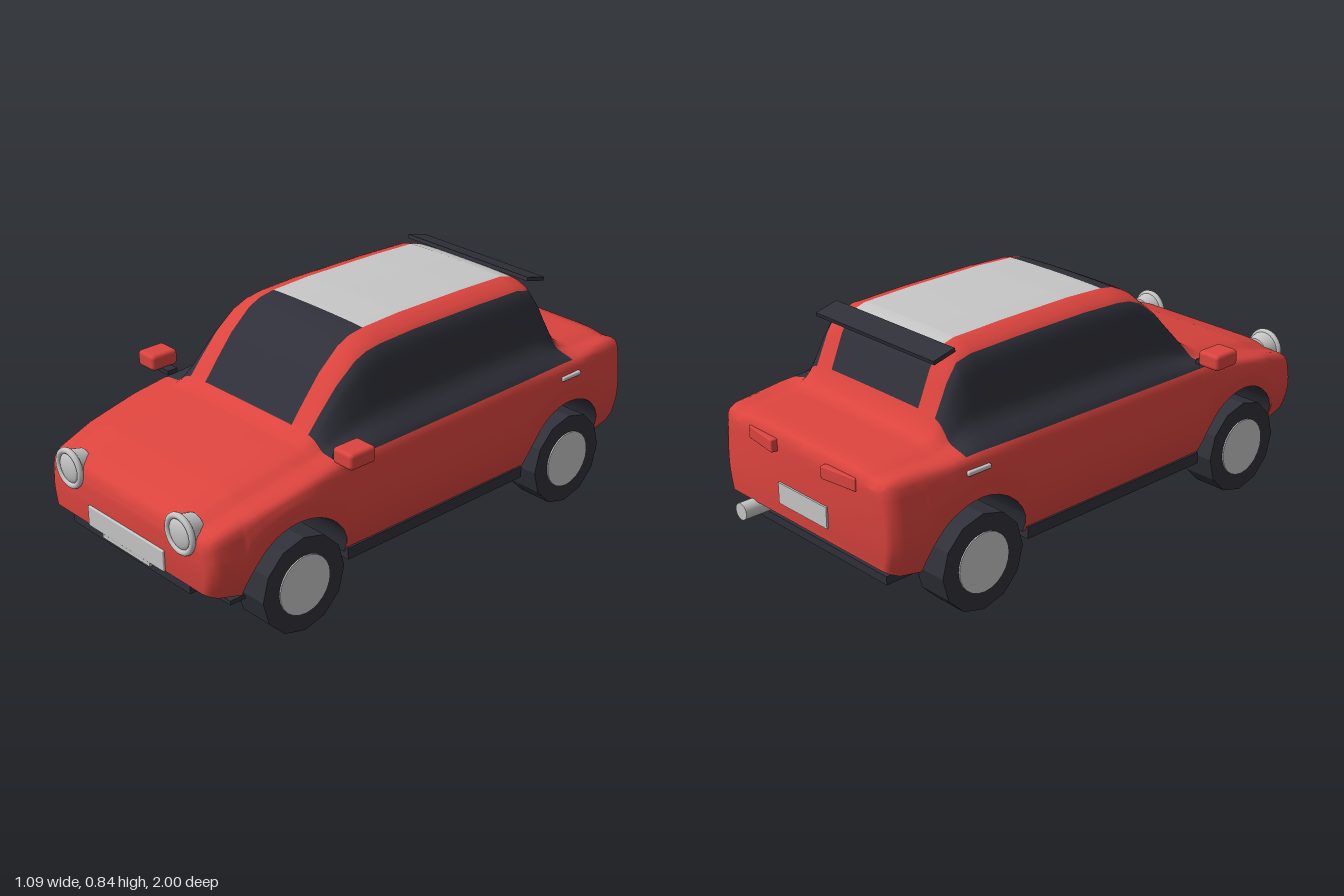
import * as THREE from 'three';
import { toCreasedNormals } from 'three/addons/utils/BufferGeometryUtils.js';
import { RoundedBoxGeometry } from 'three/addons/geometries/RoundedBoxGeometry.js';

const paint = new THREE.MeshStandardMaterial({ color: 0xdc443e });
const dark = new THREE.MeshStandardMaterial({ color: 0x2f3039 });
const silver = new THREE.MeshStandardMaterial({ color: 0xc6c6c6 });
paint.name = 'red paint';
dark.name = 'dark trim and glass';
silver.name = 'silver';

// Profiles along the car as [z, value], from nose to tail
const TOP = [[0.98, 0.41], [0.965, 0.435], [0.94, 0.45], [0.8, 0.495], [0.6, 0.535], [0.52, 0.55], [0.47, 0.58], [0.42, 0.645],
  [0.35, 0.73], [0.27, 0.8], [0.22, 0.823], [0.16, 0.833], [0, 0.84], [-0.3, 0.838], [-0.5, 0.832], [-0.56, 0.815], [-0.6, 0.75],
  [-0.65, 0.63], [-0.68, 0.575], [-0.72, 0.55], [-0.9, 0.538], [-0.935, 0.53], [-0.948, 0.505]];
const BELT = [[0.98, 0.385], [0.965, 0.41], [0.94, 0.425], [0.8, 0.465], [0.6, 0.505], [0.45, 0.525], [-0.6, 0.538],
  [-0.9, 0.525], [-0.935, 0.515], [-0.948, 0.49]];
const WIDTH = [[0.98, 0.4], [0.965, 0.425], [0.94, 0.436], [0.8, 0.458], [0.6, 0.47], [0.3, 0.474], [-0.4, 0.474],
  [-0.7, 0.468], [-0.9, 0.442], [-0.935, 0.43], [-0.948, 0.408]];
const BOTTOM = [[0.98, 0.235], [0.94, 0.215], [0.85, 0.19], [-0.815, 0.19], [-0.9, 0.205], [-0.948, 0.23]];
const FLANK = [[0.4, 1], [0.3, 0.995], [0.25, 0.975], [0.19, 0.92]]; // width factor by height
const CABIN = [[0.375, 0.2], [0.35, 0.45], [0.325, 0.75], [0.3, 0.88], [0.265, 0.95], [0.22, 0.985], [0.11, 0.997], [0, 1]];
const AXLES = [0.645, -0.61];
const ARCH = 0.205;
const SUB = 3;

// Linear lookup in a table sorted by falling first value
function look(table, v) {
  if (v >= table[0][0]) return table[0][1];
  for (let i = 1; i < table.length; i++) {
    const [a, p] = table[i - 1], [b, q] = table[i];
    if (v >= b) return p + (q - p) * (a - v) / (a - b);
  }
  return table[table.length - 1][1];
}

// Lower edge, rising over the wheels
function lowerEdge(z) {
  for (const c of AXLES) {
    const d = Math.abs(z - c);
    if (d < ARCH) return 0.19 + Math.sqrt(ARCH * ARCH - d * d);
  }
  return look(BOTTOM, z);
}

// Half cross-section from the lower edge up to the roof centre
function section(z) {
  const w = look(WIDTH, z), b = look(BELT, z), h = look(TOP, z) - b, low = lowerEdge(z);
  const pts = [];
  for (let k = 0; k < 5; k++) {
    const y = low + (b - low) * k / 4;
    const tuck = k === 4 ? 0.945 : k === 3 ? 0.985 : 1;
    pts.push(new THREE.Vector2(w * look(FLANK, y) * tuck, y));
  }
  for (const [x, f] of CABIN) pts.push(new THREE.Vector2(x * w / 0.47, b + h * f));
  return new THREE.SplineCurve(pts).getPoints(12 * SUB);
}

// Lengthwise stations, including glass limits and arch outlines
function stations() {
  const zs = [...TOP, ...BELT, ...BOTTOM].map((p) => p[0]);
  for (let z = 0.9; z > -0.92; z -= 0.04) zs.push(z);
  for (const c of AXLES) for (let i = 0; i <= 16; i++) zs.push(c + ARCH * Math.cos(Math.PI * i / 16));
  zs.sort((a, b) => b - a);
  return zs.filter((z, i) => i === 0 || zs[i - 1] - z > 0.0005);
}

function makeBody() {
  const zs = stations(), n = 12 * SUB, ring = 2 * n + 1;
  const pos = [], faces = [[], [], []], under = [], underIndex = [];
  zs.forEach((z) => {
    const s = section(z);
    for (let j = 0; j < ring; j++) {
      const p = s[j <= n ? j : 2 * n - j];
      pos.push(j < n ? p.x : j > n ? -p.x : 0, p.y, z);
    }
    under.push(s[0].x, s[0].y, z, -s[0].x, s[0].y, z);
  });
  for (let k = 0; k < zs.length - 1; k++) {
    const z = (zs[k] + zs[k + 1]) / 2;
    for (let j = 0; j < 2 * n; j++) {
      const row = (j < n ? j : 2 * n - 1 - j) / SUB;
      let m = 0;
      if (row >= 4 && row < 8 && z < 0.47 && z > -0.65) m = 1; // side glass
      if (row >= 10 && z < 0.47 && z > -0.65) m = z < 0.16 && z > -0.56 ? 2 : 1; // screens, roof panel
      const a = k * ring + j, b = a + ring;
      faces[m].push(a, b, a + 1, b, b + 1, a + 1);
    }
    const u = 2 * k;
    underIndex.push(u, u + 1, u + 2, u + 1, u + 3, u + 2);
  }
  // Nose and tail panels
  const last = (zs.length - 1) * ring;
  for (let j = 0; j < n; j++) {
    const l = 2 * n - j;
    faces[0].push(l, j, j + 1, l, j + 1, l - 1);
    faces[0].push(last + j, last + l, last + j + 1, last + l, last + l - 1, last + j + 1);
  }
  const geo = new THREE.BufferGeometry();
  geo.setAttribute('position', new THREE.Float32BufferAttribute(pos, 3));
  geo.setIndex(faces.flat());
  let start = 0;
  faces.forEach((f, m) => { geo.addGroup(start, f.length, m); start += f.length; });
  const floor = new THREE.BufferGeometry();
  floor.setAttribute('position', new THREE.Float32BufferAttribute(under, 3));
  floor.setIndex(underIndex);
  return [toCreasedNormals(geo, 0.9), toCreasedNormals(floor, 0.6)];
}

export function createModel() {
  const car = new THREE.Group();
  car.name = 'car';
  const add = (name, geo, mat, x = 0, y = 0, z = 0) => {
    const mesh = new THREE.Mesh(geo, mat);
    mesh.name = name;
    mesh.position.set(x, y, z);
    car.add(mesh);
    return mesh;
  };
  const box = (w, h, d) => new THREE.BoxGeometry(w, h, d);
  const rounded = (w, h, d, r) => new RoundedBoxGeometry(w, h, d, 2, r);
  const tube = (r1, r2, l, n) => new THREE.CylinderGeometry(r1, r2, l, n);

  const [shell, floor] = makeBody();
  add('bodyShell', shell, [paint, dark, silver]);
  add('underbodyAndWheelArches', floor, dark);

  // Sills, chin and lower plates
  add('sills', box(0.9, 0.042, 0.83), dark, 0, 0.185, 0.02);
  add('frontChin', box(0.62, 0.03, 0.08), dark, 0, 0.212, 0.93);
  add('frontSplitter', box(0.76, 0.015, 0.1), dark, 0, 0.153, 0.82);
  add('rearDiffuser', box(0.67, 0.03, 0.13), dark, 0, 0.153, -0.825);
  add('spoiler', box(0.59, 0.014, 0.09), dark, 0, 0.812, -0.602).rotation.x = -0.24;

  // Number plates
  add('frontPlate', rounded(0.4, 0.075, 0.012, 0.004), silver, 0, 0.272, 0.982);
  add('frontPlateBracket', box(0.25, 0.02, 0.012), silver, 0, 0.23, 0.98);
  add('rearPlate', box(0.25, 0.075, 0.009), silver, 0, 0.315, -0.95);
  add('exhaust', tube(0.03, 0.03, 0.13, 20), silver, 0.28, 0.205, -0.935).rotation.x = Math.PI / 2;

  for (const s of [1, -1]) {
    // Headlights
    add('headlightHousing', tube(0.064, 0.05, 0.06, 28), silver, s * 0.292, 0.41, 0.955).rotation.x = Math.PI / 2;
    add('headlightRim', new THREE.TorusGeometry(0.061, 0.011, 10, 32), silver, s * 0.292, 0.41, 0.985);
    add('headlightLens', new THREE.SphereGeometry(0.054, 24, 16), silver, s * 0.292, 0.41, 0.982).scale.z = 0.3;

    // Mirrors, handles and tail lights
    add('mirror', rounded(0.09, 0.058, 0.108, 0.014), paint, s * 0.502, 0.576, 0.457);
    add('mirrorStalk', box(0.06, 0.016, 0.04), dark, s * 0.452, 0.545, 0.455);
    add('doorHandle', rounded(0.02, 0.016, 0.095, 0.005), silver, s * 0.464, 0.492, -0.618);
    add('tailLight', rounded(0.15, 0.045, 0.025, 0.005), paint, s * 0.2, 0.482, -0.95).rotation.y = -s * 0.13;

    // Wheels
    for (const z of AXLES) {
      const tyre = add('tyre', toCreasedNormals(tube(0.17, 0.17, 0.128, 12), 0.2), dark, s * 0.41, 0.17, z);
      const hub = add('wheelHub', tube(0.105, 0.105, 0.138, 24), silver, s * 0.41, 0.17, z);
      tyre.rotation.z = hub.rotation.z = Math.PI / 2;
    }
  }
  return car;
}
